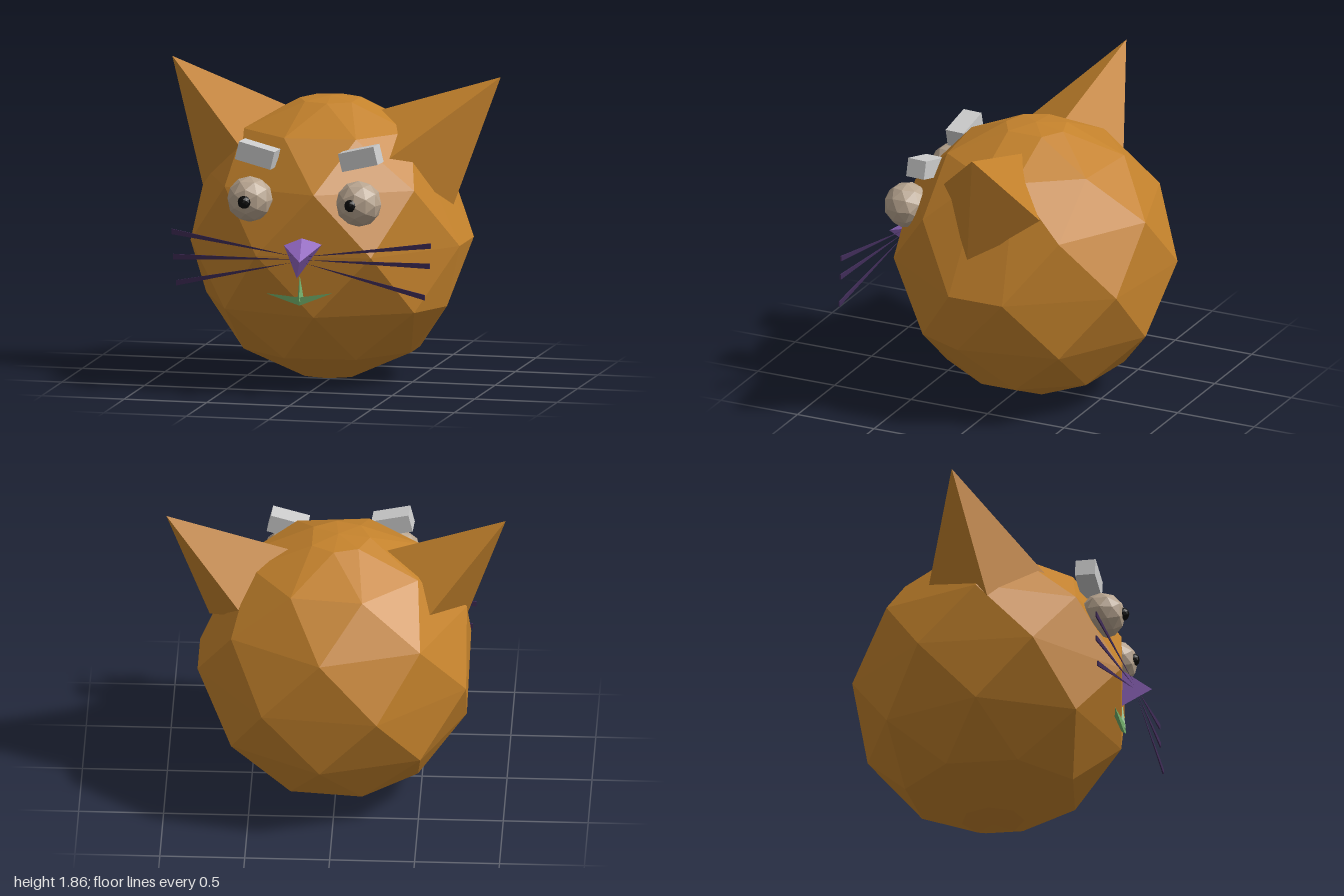
import * as THREE from 'three';
import { ConvexGeometry } from 'three/addons/geometries/ConvexGeometry.js';

const material = (color) => new THREE.MeshStandardMaterial({ color, flatShading: true });
const v = (x, y, z) => new THREE.Vector3(x, y, z);

export function createModel() {
  const group = new THREE.Group();
  const fur = material(0xc4822c);
  const eyeWhite = material(0xb8a590);
  const black = material(0x080808);
  const grey = material(0xcccccc);
  const purple = material(0x9468c4);
  const dark = material(0x402c58);
  const green = material(0x78b870);

  const add = (name, geometry, mat, x = 0, y = 0, z = 0) => {
    const mesh = new THREE.Mesh(geometry, mat);
    mesh.name = name;
    mesh.position.set(x, y, z);
    group.add(mesh);
    return mesh;
  };
  const hull = (name, points, mat) => add(name, new ConvexGeometry(points), mat);

  // Head: staggered rings on a ball, giving diamond facets
  const R = 0.84;
  const points = [v(0, R, 0), v(0, -R, 0)];
  const onBall = (ring, column) => {
    const lat = (ring * Math.PI) / 7;
    const a = THREE.MathUtils.degToRad(102 + column * 24);
    return v(R * Math.cos(lat) * Math.sin(a), R * Math.sin(lat), -R * Math.cos(lat) * Math.cos(a));
  };
  for (let ring = -3; ring <= 3; ring++) {
    for (let c = Math.abs(ring) % 2; c < 15; c += 2) points.push(onBall(ring, c));
  }
  points.push(onBall(-1, 0));
  add('head', new ConvexGeometry(points), fur, -0.01, 0.845, -0.07);

  // Ears: four-sided pyramids whose bases sink into the head
  const earBase = [[0.57, 1.33, -0.37], [0.28, 1.6, -0.12], [0.47, 1.41, 0.29], [0.77, 1.13, 0]];
  const ear = (name, side, tip) => {
    const base = earBase.map(([x, y, z]) => tip.clone().lerp(v(side * x, y, z), 1.08));
    hull(name, [tip, ...base], fur);
  };
  ear('leftEar', 1, v(1.0, 1.82, -0.14));
  ear('rightEar', -1, v(-1.0, 1.86, -0.18));

  // Eyes, pupils and brows
  const ball = new THREE.IcosahedronGeometry(0.137, 1);
  const pupil = new THREE.IcosahedronGeometry(0.04, 1);
  const brow = new THREE.BoxGeometry(0.225, 0.11, 0.12);
  const sides = [
    { name: 'left', s: 1, eye: [0.325, 1.16, 0.61], pupil: [0.305, 1.165, 0.72], brow: [0.31, 1.415, 0.5] },
    { name: 'right', s: -1, eye: [-0.33, 1.165, 0.625], pupil: [-0.335, 1.165, 0.745], brow: [-0.305, 1.42, 0.54] },
  ];
  for (const side of sides) {
    add(side.name + 'Eye', ball, eyeWhite, ...side.eye);
    add(side.name + 'Pupil', pupil, black, ...side.pupil);
    add(side.name + 'Brow', brow, grey, ...side.brow).rotation.set(0, -0.06, side.s * 0.24);
  }

  // Nose: lopsided pyramid pointing forward
  hull('nose', [v(0.03, 0.84, 0.87), v(-0.12, 0.92, 0.69), v(0, 0.96, 0.69),
    v(0.12, 0.92, 0.69), v(-0.035, 0.7, 0.68)], purple);

  // Whiskers: thin blades widening away from the nose
  const whisker = (name, root, end) => {
    const corners = [root];
    for (const dy of [-0.016, 0.016]) {
      for (const dz of [-0.004, 0.004]) corners.push(v(end.x, end.y + dy, end.z + dz));
    }
    hull(name, corners, dark);
  };
  const ends = [
    [v(0.81, 0.96, 0.81), v(-0.8, 0.957, 0.65)],
    [v(0.805, 0.84, 0.815), v(-0.79, 0.807, 0.65)],
    [v(0.78, 0.655, 0.835), v(-0.77, 0.652, 0.655)],
  ];
  ends.forEach(([left, right], i) => {
    const y = 0.86 - i * 0.02;
    whisker('leftWhisker' + (i + 1), v(0.04, y, 0.775), left);
    whisker('rightWhisker' + (i + 1), v(-0.04, y, 0.77), right);
  });

  // Mouth: stem and two tapering lips
  const middle = [v(-0.01, 0.605, 0.715), v(-0.01, 0.555, 0.71), v(-0.01, 0.58, 0.65)];
  hull('mouthStem', [v(-0.01, 0.73, 0.7), v(-0.03, 0.58, 0.69), v(0.015, 0.58, 0.69), v(-0.01, 0.58, 0.72)], green);
  hull('leftLip', [v(0.19, 0.635, 0.695), ...middle], green);
  hull('rightLip', [v(-0.22, 0.617, 0.685), ...middle], green);

  return group;
}
